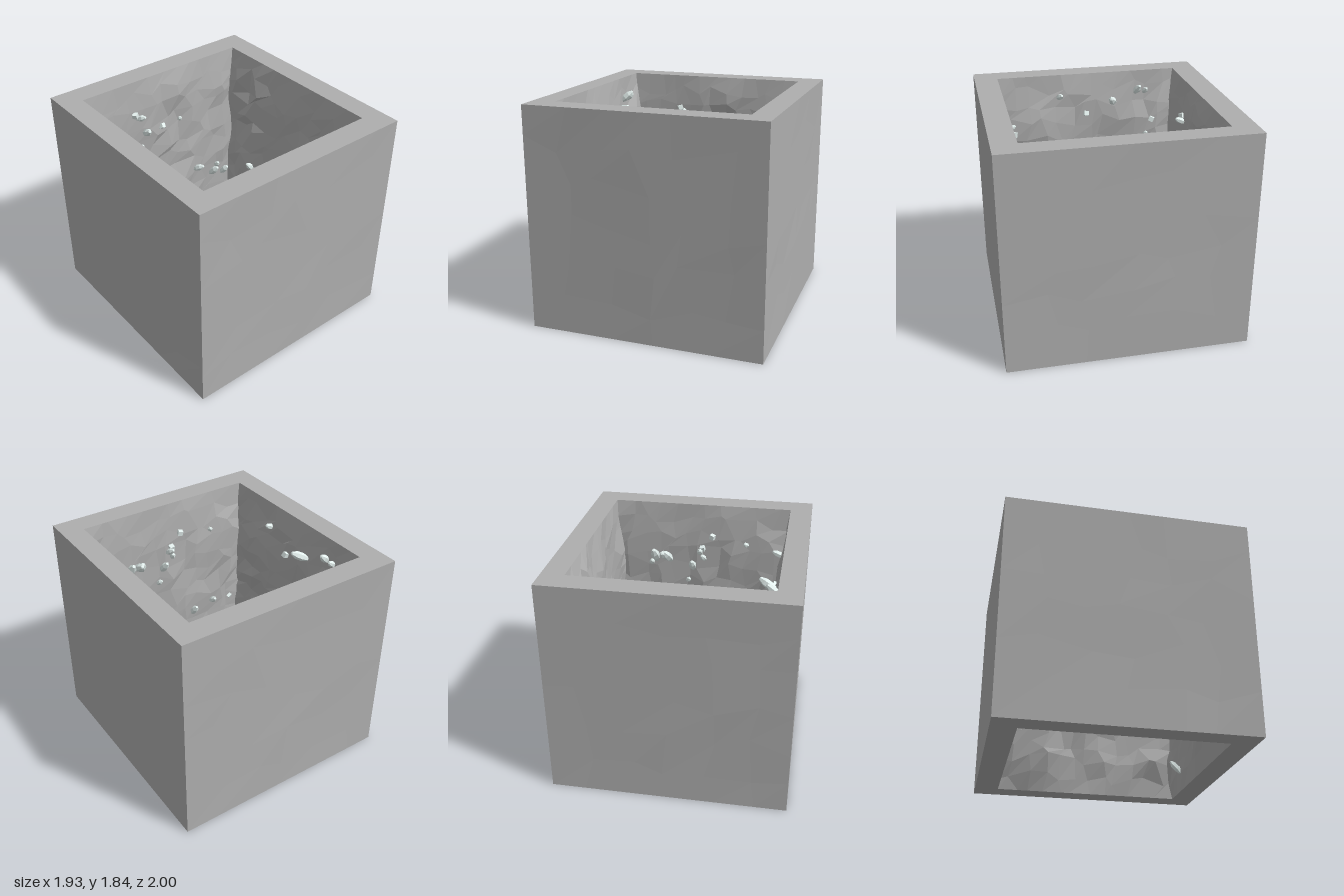
import * as THREE from 'three';

const HX = 0.965, HZ = 0.998, IX = 0.78, IZ = 0.8, Y0 = 0.006, Y1 = 1.846;
const stone = new THREE.MeshStandardMaterial({ color: 0xaeaeae, flatShading: true });
const pale = new THREE.MeshStandardMaterial({ color: 0xe4f0ee, flatShading: true });

// repeatable pseudo-random value in 0..1 from integers
function hash(a, b, c) {
  const s = Math.sin(a * 127.1 + b * 311.7 + c * 74.7) * 43758.5453;
  return s - Math.floor(s);
}

// smooth value noise in 0..1
function noise(x, y, seed) {
  const i = Math.floor(x), j = Math.floor(y);
  const ease = (t) => t * t * (3 - 2 * t);
  const mix = THREE.MathUtils.lerp, fx = ease(x - i), fy = ease(y - j);
  return mix(mix(hash(i, j, seed), hash(i + 1, j, seed), fx),
    mix(hash(i, j + 1, seed), hash(i + 1, j + 1, seed), fx), fy);
}

// greatest rock depth along each wall, evenly spaced from -0.8 to 0.8 in world x or z
const bulge = {
  front: [0.06, 0.065, 0.05, 0.06, 0.065, 0.02, 0.03, 0.055, 0.04, 0.07],
  back: [0.04, 0.03, 0.02, 0.025, 0.06, 0.085, 0.08, 0.04, 0.05, 0.03],
  left: [0.05, 0.07, 0.065, 0.05, 0.05, 0.05, 0.07, 0.08, 0.08, 0.07],
  right: [0.05, 0.1, 0.125, 0.07, 0.06, 0.07, 0.06, 0.08, 0.1, 0.08],
};

// rock depth at a place on an inner wall, fading at both rims
function rockDepth(place, y, name, seed) {
  const list = bulge[name], t = (y - Y0) / (Y1 - Y0);
  const s = THREE.MathUtils.clamp((place + 0.8) / 1.6, 0, 0.999) * (list.length - 1), i = Math.floor(s);
  const most = THREE.MathUtils.lerp(list[i], list[i + 1], s - i);
  const fade = THREE.MathUtils.clamp(6 * Math.min(t, 1 - t), 0, 1);
  const n = 0.55 * noise(place * 2.2 + 9, y * 2.2 + 3, seed) + 0.45 * noise(place * 6 + 9, y * 6, seed + 5);
  return fade * most * (0.1 + THREE.MathUtils.smoothstep(n, 0.2, 0.75));
}

// upright plane grid, moved along its normal by a depth rule
function panel(width, cols, rows, seed, jitter, depth) {
  const g = new THREE.PlaneGeometry(width, Y1 - Y0, cols, rows);
  const p = g.attributes.position;
  for (let k = 0; k < p.count; k++) {
    const c = k % (cols + 1), r = Math.floor(k / (cols + 1));
    let u = p.getX(k), y = p.getY(k) + (Y0 + Y1) / 2;
    if (c > 0 && c < cols) u += (hash(c, r, seed) - 0.5) * jitter * width / cols;
    if (r > 0 && r < rows) y += (hash(r, c, seed + 3) - 0.5) * jitter * (Y1 - Y0) / rows;
    p.setXYZ(k, u, y, depth(u, y));
  }
  g.computeVertexNormals();
  return g;
}

// four-sided ring closing the wall thickness at the top or bottom
function rim() {
  const rect = (path, x, z) => path.moveTo(-x, -z).lineTo(x, -z).lineTo(x, z).lineTo(-x, z).closePath();
  const shape = rect(new THREE.Shape(), HX, HZ);
  shape.holes.push(rect(new THREE.Path(), IX, IZ));
  return new THREE.ShapeGeometry(shape);
}

// six-sided crystal with blunt points, growing along +y from the origin
function crystalGeometry() {
  const profile = [[0, -0.1], [0.6, 0], [1, 0.35], [0.95, 0.7], [0.4, 1], [0, 1.02]];
  return new THREE.LatheGeometry(profile.map(([r, y]) => new THREE.Vector2(r, y)), 6);
}

// crystals per wall: place along the wall (world x or z), height, length (0 = small cube)
const crystals = {
  left: [[-0.53, 1.64, 0.09], [-0.45, 1.64, 0.13], [-0.24, 1.57, 0.16], [-0.59, 1.4, 0], [-0.53, 1.24, 0.07],
    [-0.57, 1.2, 0], [0.02, 1.49, 0], [0.27, 1.64, 0.1], [0.35, 0.6, 0.15], [0.43, 0.7, 0.13], [0.11, 0.42, 0.11],
    [-0.1, 0.39, 0], [-0.12, 0.2, 0.07], [0.22, 0.9, 0], [0.62, 0.28, 0.1]],
  back: [[-0.29, 1.5, 0.1], [-0.32, 1.55, 0], [-0.55, 1.18, 0], [-0.23, 1.34, 0.15], [-0.05, 1.35, 0],
    [0.15, 1.33, 0.05], [-0.64, 0.8, 0.1], [-0.3, 0.7, 0.13], [0.29, 0.75, 0.12], [0.5, 0.6, 0.14],
    [0.57, 0.66, 0.09], [0.64, 0.55, 0.12]],
  right: [[-0.36, 0.8, 0.11], [-0.23, 0.65, 0.13], [-0.2, 0.7, 0.08], [0.12, 1.0, 0], [0.17, 0.95, 0]],
  front: [[0.42, 1.3, 0.19], [0.34, 1.33, 0.17], [0.29, 1.3, 0.18], [0.47, 1.27, 0.1], [0.02, 1.39, 0.11],
    [-0.03, 1.33, 0.09], [-0.1, 1.57, 0], [0.08, 1.23, 0.15], [0.13, 1.1, 0.07], [-0.01, 1.45, 0], [-0.42, 1.5, 0.07],
    [-0.22, 0.66, 0.14], [0.07, 0.53, 0.1], [0.45, 0.16, 0.13], [-0.44, 0.72, 0.12], [-0.56, 0.5, 0],
    [-0.53, 0.27, 0.11], [-0.5, 0.3, 0.09], [-0.65, 0.7, 0]],
};

export function createModel() {
  const model = new THREE.Group();
  const add = (parent, name, geometry, material) => {
    const m = new THREE.Mesh(geometry, material);
    m.name = name;
    parent.add(m);
    return m;
  };
  const cube = new THREE.BoxGeometry(0.042, 0.042, 0.042);
  const crystal = crystalGeometry();

  // turn is the heading of the wall's outer face; sign maps world place to place along the inner wall
  const walls = [
    { name: 'front', turn: 0, w: HX, d: HZ, iw: IX, id: IZ, sign: -1 },
    { name: 'right', turn: Math.PI / 2, w: HZ, d: HX, iw: IZ, id: IX, sign: 1 },
    { name: 'back', turn: Math.PI, w: HX, d: HZ, iw: IX, id: IZ, sign: 1 },
    { name: 'left', turn: -Math.PI / 2, w: HZ, d: HX, iw: IZ, id: IX, sign: -1 },
  ];
  walls.forEach(({ name, turn, w, d, iw, id, sign }, i) => {
    // nearly flat outer face
    const outer = new THREE.Group();
    outer.name = name + 'Wall';
    outer.rotation.y = turn;
    model.add(outer);
    add(outer, name + 'OuterFace', panel(w * 2, 6, 6, i + 20, 0.6, (u, y) => {
      const edge = Math.abs(u) > w - 0.01 || y < Y0 + 0.01 || y > Y1 - 0.01;
      return edge ? 0 : (noise(u * 2 + 9, y * 2, i + 30) - 0.8) * 0.012;
    }), stone).position.z = d;

    // rough inner face
    const inner = new THREE.Group();
    inner.name = name + 'Cavity';
    inner.position.set(Math.sin(turn) * id, 0, Math.cos(turn) * id);
    inner.rotation.y = turn + Math.PI;
    model.add(inner);
    const depth = (u, y) => rockDepth(u * sign, y, name, i + 1);
    add(inner, name + 'RoughRock', panel(iw * 2, 12, 13, i + 40, 0.8, depth), stone);

    // crystals rooted in the rock, leaning up and inward
    crystals[name].forEach(([place, y, length], k) => {
      const u = place * sign, a = hash(k, i, 1) - 0.5, b = hash(k, i, 2) - 0.5;
      const c = add(inner, 'crystal', length ? crystal : cube, pale);
      c.position.set(u, y, depth(u, y) + (length ? -0.005 : 0.012));
      if (length) {
        const r = 0.013 + length * 0.14;
        c.scale.set(r, length, r);
        c.quaternion.setFromUnitVectors(new THREE.Vector3(0, 1, 0),
          new THREE.Vector3(a * 0.7, 0.7 + b * 0.6, 0.8).normalize());
      } else c.rotation.set(a * 1.5, b * 1.5, a + b);
    });
  });

  // flat rims
  const top = add(model, 'topRim', rim(), stone);
  top.rotation.x = -Math.PI / 2;
  top.position.y = Y1;
  const bottom = add(model, 'bottomRim', rim(), stone);
  bottom.rotation.x = Math.PI / 2;
  bottom.position.y = Y0;
  return model;
}
